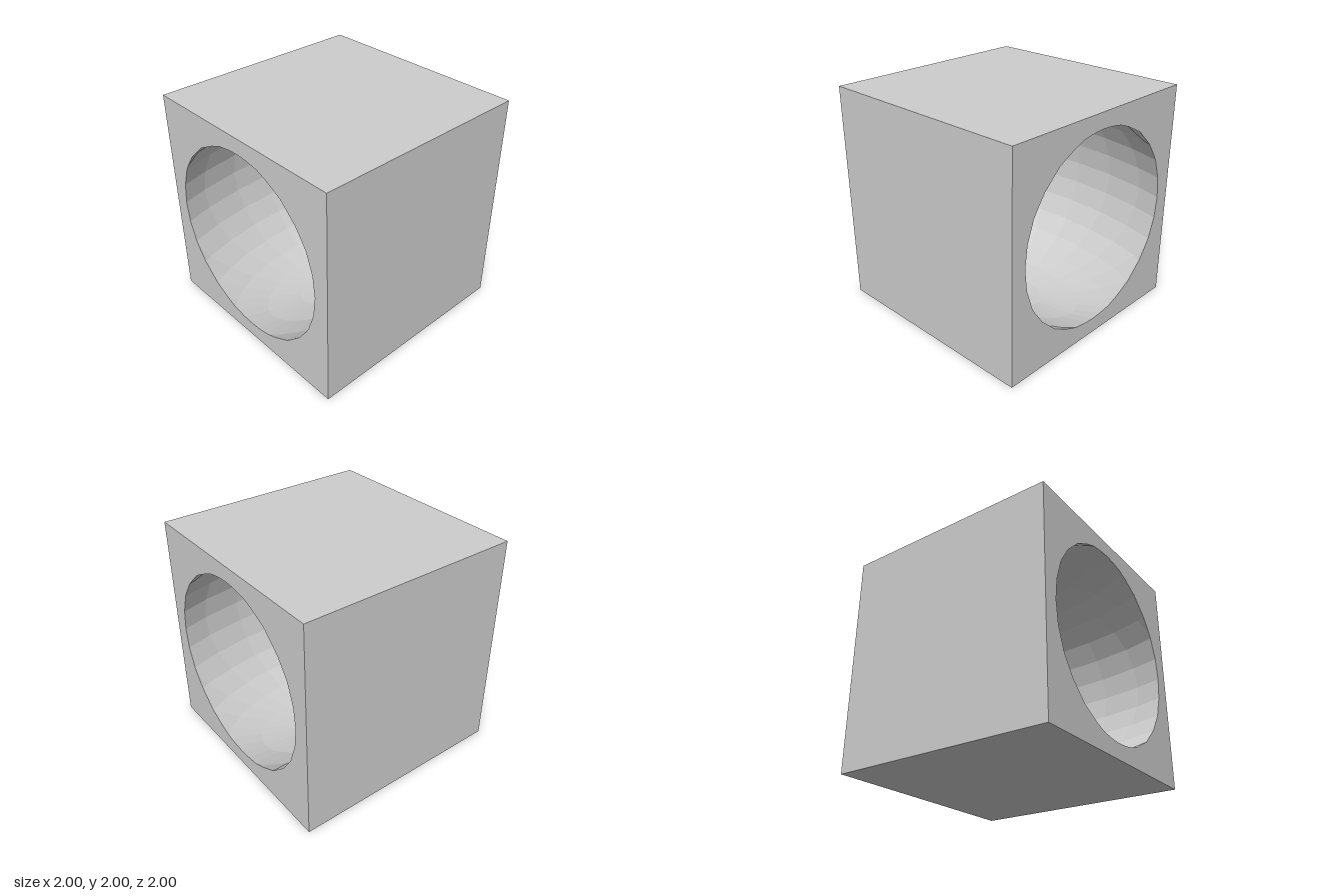
import * as THREE from 'three';

// Cut a convex polygon, keeping the side where sign * x <= 1.
function clip(poly, sign) {
  const out = [];
  poly.forEach((a, i) => {
    const b = poly[(i + 1) % poly.length];
    const da = 1 - sign * a.x, db = 1 - sign * b.x;
    if (da >= 0) out.push(a);
    if (da * db < 0) {
      const p = a.clone().lerp(b, da / (da - db));
      p.x = sign;
      out.push(p);
    }
  });
  return out;
}

export function createModel() {
  const group = new THREE.Group();
  const grey = new THREE.MeshStandardMaterial({ color: 0xcccccc });

  function add(name, geometry) {
    const mesh = new THREE.Mesh(geometry, grey);
    mesh.name = name;
    group.add(mesh);
    return mesh;
  }

  // Cavity: a faceted ellipsoid seen from inside, trimmed at both open sides.
  const ball = new THREE.SphereGeometry(1, 32, 16).scale(2, 1, 1).toNonIndexed();
  const source = ball.attributes.position;
  const points = [], rim = [];
  for (let i = 0; i < source.count; i += 3) {
    const corners = [2, 1, 0].map(k => new THREE.Vector3().fromBufferAttribute(source, i + k));
    const poly = clip(clip(corners, 1), -1);
    for (let k = 1; k + 1 < poly.length; k++) points.push(poly[0], poly[k], poly[k + 1]);
    rim.push(...poly.filter(p => p.x > 0.99999));
  }
  const cavity = new THREE.BufferGeometry().setFromPoints(points);
  cavity.computeVertexNormals();
  add('cavity', cavity).position.y = 1;

  // Opening outline on the +x side, in order around the centre, without repeats.
  const outline = rim
    .map(p => new THREE.Vector2(-p.z, p.y))
    .sort((a, b) => a.angle() - b.angle())
    .filter((p, i, all) => i === 0 || p.distanceTo(all[i - 1]) > 1e-4);
  if (outline[0].distanceTo(outline[outline.length - 1]) < 1e-4) outline.pop();

  // Two side walls with the opening cut through.
  const square = new THREE.Shape([[-1, -1], [1, -1], [1, 1], [-1, 1]].map(c => new THREE.Vector2(...c)));
  square.holes.push(new THREE.Path(outline));
  for (const side of [1, -1]) {
    const wall = new THREE.ShapeGeometry(square).translate(0, 0, 1).rotateY(side * Math.PI / 2);
    add(side > 0 ? 'leftOpenWall' : 'rightOpenWall', wall).position.y = 1;
  }

  // Four plain walls: front, top, back and bottom.
  ['frontWall', 'topWall', 'backWall', 'bottomWall'].forEach((name, i) => {
    const wall = new THREE.PlaneGeometry(2, 2).translate(0, 0, 1).rotateX(-i * Math.PI / 2);
    add(name, wall).position.y = 1;
  });

  return group;
}
